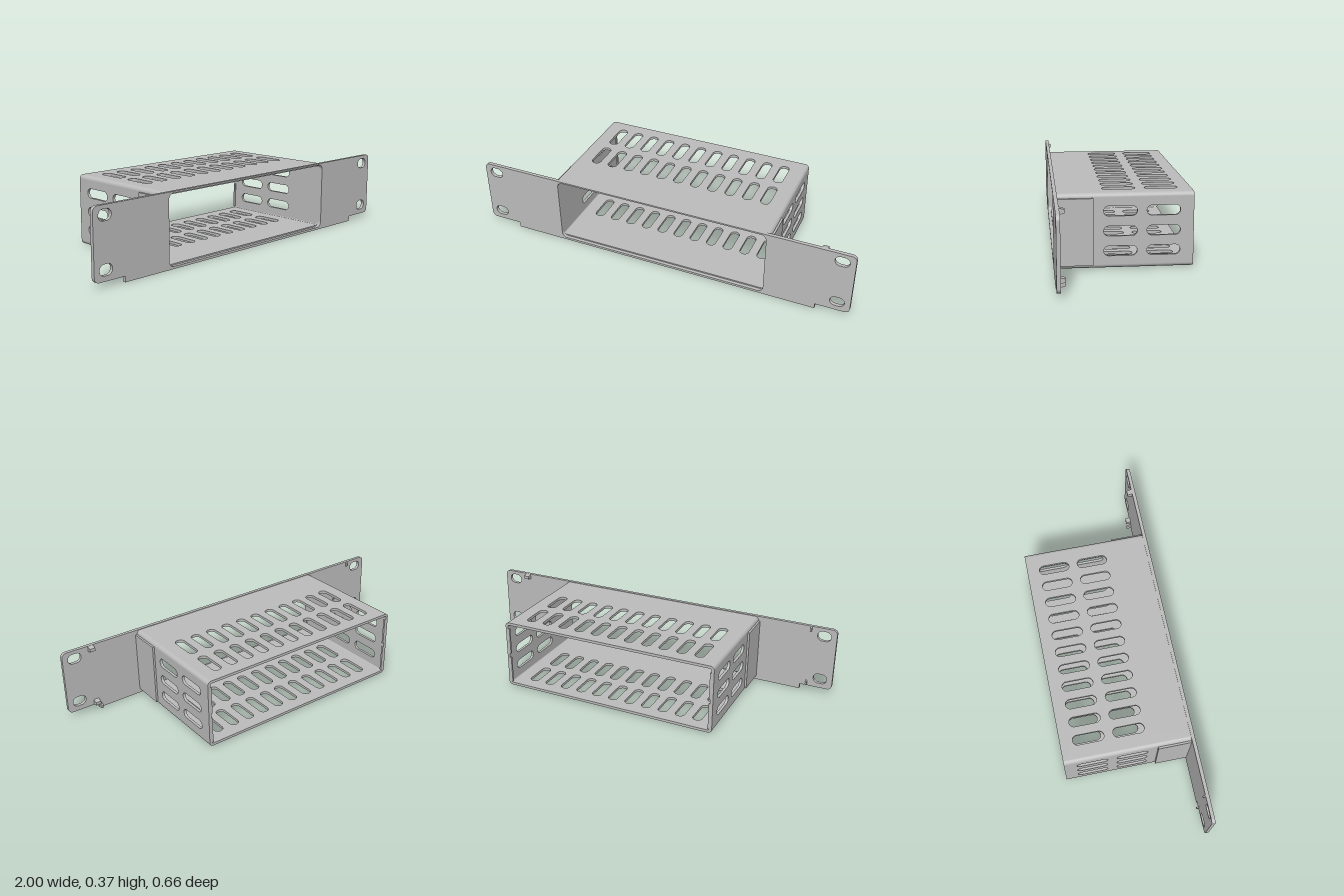
import * as THREE from 'three';

const metal = new THREE.MeshStandardMaterial({ color: 0xbcbcbc });
metal.name = 'grey metal';

// Rounded rectangle centred on (cx, cy), added to a Shape or Path
function roundRect(p, cx, cy, w, h, r) {
  const x = cx - w / 2, y = cy - h / 2, H = Math.PI / 2;
  p.moveTo(x + r, y);
  p.absarc(x + w - r, y + r, r, -H, 0, false);
  p.absarc(x + w - r, y + h - r, r, 0, H, false);
  p.absarc(x + r, y + h - r, r, H, 2 * H, false);
  p.absarc(x + r, y + r, r, 2 * H, 3 * H, false);
  p.closePath();
  return p;
}

function extrude(shape, depth) {
  return new THREE.ExtrudeGeometry(shape, { depth, bevelEnabled: false, curveSegments: 10 });
}

function add(parent, name, geometry, x = 0, y = 0, z = 0) {
  const mesh = new THREE.Mesh(geometry, metal);
  mesh.name = name;
  mesh.position.set(x, y, z);
  parent.add(mesh);
  return mesh;
}

// Sleeve dimensions
const X = 0.58, Y0 = 0.005, Y1 = 0.367, T = 0.014, R = 0.02;
const BACK = -0.33, FRONT = 0.312, LEN = FRONT - BACK;
const SLOT_Z = [0.0165, -0.187], SLOT_LEN = 0.158;

export function createModel() {
  const group = new THREE.Group();
  group.name = 'rackBracket';

  // Faceplate with notched lower corners, central opening and ear slots
  const face = new THREE.Shape(), r = 0.025, H = Math.PI / 2;
  face.moveTo(-0.83, 0);
  face.lineTo(0.83, 0);
  face.lineTo(0.83, 0.028);
  face.absarc(1 - r, 0.028 + r, r, -H, 0, false);
  face.absarc(1 - r, 0.37 - r, r, 0, H, false);
  face.absarc(-1 + r, 0.37 - r, r, H, 2 * H, false);
  face.absarc(-1 + r, 0.028 + r, r, 2 * H, 3 * H, false);
  face.lineTo(-0.83, 0.028);
  face.closePath();
  face.holes.push(roundRect(new THREE.Path(), 0, 0.187, 1.13, 0.35, 0.028));
  for (const x of [-0.935, 0.935])
    for (const y of [0.08, 0.325])
      face.holes.push(roundRect(new THREE.Path(), x, y, 0.072, 0.053, 0.0264));
  add(group, 'faceplate', extrude(face, 0.33 - FRONT), 0, 0, FRONT);

  // Top and bottom walls with two rows of vent slots
  const wide = new THREE.Shape();
  const w = X - R;
  wide.moveTo(-w, BACK).lineTo(w, BACK).lineTo(w, FRONT).lineTo(-w, FRONT).closePath();
  for (const z of SLOT_Z)
    for (let i = -5; i <= 5; i++)
      wide.holes.push(roundRect(new THREE.Path(), i * 0.0943, z, 0.05, SLOT_LEN, 0.0249));
  const wideGeo = extrude(wide, T).rotateX(Math.PI / 2); // shape y becomes z, depth goes down
  add(group, 'topWall', wideGeo, 0, Y1, 0);
  add(group, 'bottomWall', wideGeo, 0, Y0 + T, 0);

  // Side walls with three rows of vent slots, drawn in (-z, y)
  const side = new THREE.Shape();
  side.moveTo(-FRONT, Y0 + R).lineTo(-BACK, Y0 + R).lineTo(-BACK, Y1 - R).lineTo(-FRONT, Y1 - R).closePath();
  for (const z of SLOT_Z)
    for (const y of [0.09, 0.186, 0.282])
      side.holes.push(roundRect(new THREE.Path(), -z, y, SLOT_LEN, 0.048, 0.0239));
  const sideGeo = extrude(side, T).rotateY(Math.PI / 2);
  add(group, 'leftWall', sideGeo, X - T, 0, 0);
  add(group, 'rightWall', sideGeo, -X, 0, 0);

  // Bent corners joining the walls
  const bend = new THREE.Shape();
  bend.moveTo(R, 0);
  bend.absarc(0, 0, R, 0, H, false);
  bend.lineTo(0, R - T);
  bend.absarc(0, 0, R - T, H, 0, true);
  bend.closePath();
  const bendGeo = extrude(bend, LEN);
  const corners = [[1, 1], [-1, 1], [-1, -1], [1, -1]];
  corners.forEach(([sx, sy], i) => {
    const m = add(group, 'cornerBend', bendGeo, sx * (X - R), sy > 0 ? Y1 - R : Y0 + R, BACK);
    m.rotation.z = i * H;
  });

  // Trapezoid locating tab on the back of the ears, drawn in (-z, y)
  function tab(x, y, width, reach) {
    const s = new THREE.Shape();
    s.moveTo(0, -0.015).lineTo(reach, -0.008).lineTo(reach, 0.008).lineTo(0, 0.015).closePath();
    add(group, 'locatingTab', extrude(s, width).rotateY(Math.PI / 2), x - width / 2, y, FRONT);
  }
  tab(0.845, 0.354, 0.028, 0.025);
  tab(0.845, 0.043, 0.028, 0.025);
  tab(0.824, 0.015, 0.01, 0.025);
  tab(-0.865, 0.354, 0.008, 0.012);
  tab(-0.865, 0.043, 0.008, 0.012);

  for (const s of [-1, 1]) {
    // Reinforcing flange lying against the outside of the sleeve
    add(group, 'sideFlange', new THREE.BoxGeometry(0.01, 0.322, 0.168), s * (X + 0.005), 0.184, 0.228);
    // Retaining lips inside the rear opening
    for (const y of [0.095, 0.26])
      add(group, 'rearLip', new THREE.BoxGeometry(0.008, 0.14, 0.01), s * (X - T - 0.003), y, BACK + 0.005);
  }
  return group;
}
